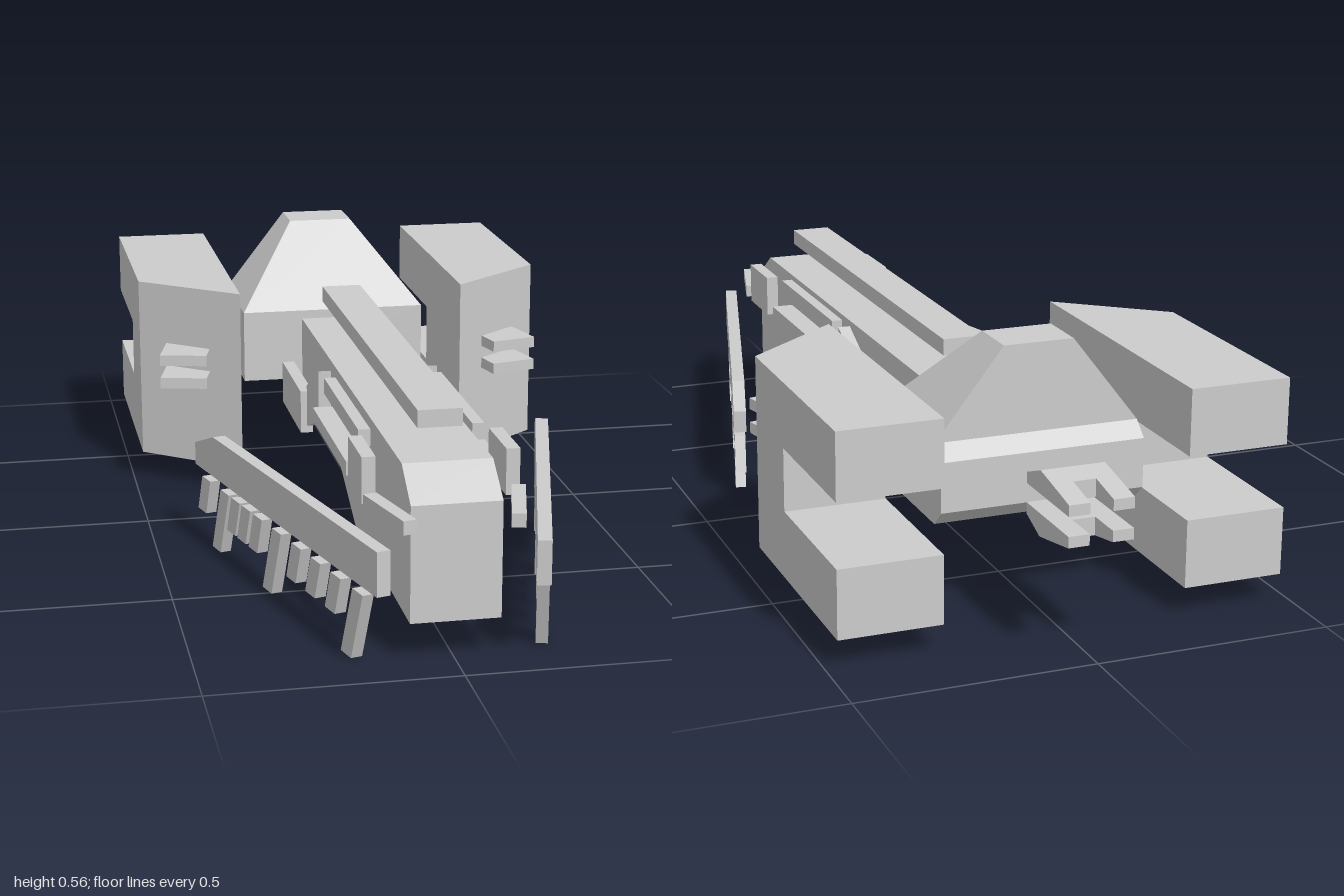
import * as THREE from 'three';

const material = new THREE.MeshStandardMaterial({ color: 0xcccccc, flatShading: true });

// Side profile of [z, y] points, extruded between two x positions
function prism(name, points, xa, xb) {
  const shape = new THREE.Shape(points.map(([z, y]) => new THREE.Vector2(z, y)));
  const geometry = new THREE.ExtrudeGeometry(shape, { depth: Math.abs(xb - xa), bevelEnabled: false });
  geometry.rotateY(-Math.PI / 2).translate(Math.max(xa, xb), 0, 0);
  return named(name, geometry);
}

function named(name, geometry) {
  const mesh = new THREE.Mesh(geometry, material);
  mesh.name = name;
  return mesh;
}

// Upright block from its limits along each axis
function block(name, [xa, xb], [ya, yb], [za, zb]) {
  return prism(name, [[za, ya], [zb, ya], [zb, yb], [za, yb]], xa, xb);
}

function moveVertices(geometry, rule) {
  const p = geometry.attributes.position;
  const v = new THREE.Vector3();
  for (let i = 0; i < p.count; i++) {
    rule(v.fromBufferAttribute(p, i));
    p.setXYZ(i, v.x, v.y, v.z);
  }
  geometry.computeVertexNormals();
}

// C-shaped engine pod with a slanted nose and two small fins
function enginePod(s) {
  const group = new THREE.Group();
  group.name = s > 0 ? 'leftEnginePod' : 'rightEnginePod';
  const pod = prism('podShell', [
    [-0.16, 0.06], [-0.16, 0.48], [-0.85, 0.48], [-0.85, 0.34],
    [-0.52, 0.34], [-0.52, 0.205], [-0.85, 0.205], [-0.85, 0.06],
  ], s * 0.26, s * 0.477);
  moveVertices(pod.geometry, (v) => {
    if (v.z > -0.2 && Math.abs(v.x) > 0.4) v.z = -0.335;
  });
  group.add(pod);
  for (const y of [0.273, 0.327]) {
    const fin = named('podFin', new THREE.BoxGeometry(0.108, 0.025, 0.115));
    fin.position.set(s * 0.38, y, -0.222);
    fin.rotation.y = s * 0.24;
    group.add(fin);
  }
  return group;
}

// Splayed rail carrying a row of slanted legs
function legRail(s) {
  const group = new THREE.Group();
  group.name = s > 0 ? 'leftLegRail' : 'rightLegRail';
  group.add(prism('rail', [
    [0.455, 0.165], [0.455, 0.255], [-0.35, 0.255], [-0.455, 0.215], [-0.455, 0.165],
  ], -0.014, 0.014));
  const leg = (name, z, bottom, drift) => {
    const c = (z - 0.545) / 0.967;
    group.add(prism(name, [
      [c - 0.023, 0.146], [c + 0.023, 0.146], [c + 0.023 - drift, bottom], [c - 0.023 - drift, bottom],
    ], -0.012, 0.012));
  };
  for (const z of [0.9, 0.53, 0.262]) leg('longLeg', z, 0, 0.052);
  for (const z of [0.805, 0.715, 0.625, 0.435, 0.375, 0.32, 0.16]) leg('shortLeg', z, 0.065, 0.027);
  group.position.set(s * 0.2715, 0, 0.545);
  group.rotation.y = -s * 0.259;
  return group;
}

// Plates and strips along one flank of the body
function flankPlates(s) {
  const group = new THREE.Group();
  group.name = s > 0 ? 'leftFlankPlates' : 'rightFlankPlates';
  const x = (a, b) => [s * a, s * b];
  group.add(
    block('rearPlate', x(0.11, 0.138), [0.172, 0.27], [-0.32, -0.055]),
    prism('slantedPlate', [[0.155, 0.26], [0.155, 0.375], [0, 0.3], [0, 0.205]], s * 0.105, s * 0.133),
    block('upperStrip', x(0.105, 0.13), [0.34, 0.375], [0.21, 0.603]),
    block('lowerStrip', x(0.105, 0.155), [0.28, 0.31], [0.21, 0.603]),
    block('frontPlate', x(0.13, 0.158), [0.28, 0.375], [0.64, 0.783]),
  );
  const prong = named('nosePron', new THREE.BoxGeometry(0.028, 0.028, 0.175));
  prong.name = 'noseProng';
  prong.position.set(s * 0.126, 0.297, 0.897);
  prong.rotation.y = -s * 0.25;
  group.add(prong);
  return group;
}

// Forked tail: two tapered jaws, each ending in a pair of prongs
function tail() {
  const group = new THREE.Group();
  group.name = 'tailFork';
  for (const f of [1, -1]) {
    const y = (h) => 0.29 + f * h;
    group.add(prism('tailJaw', [
      [-0.8, y(0.02)], [-0.8, y(0.043)], [-0.865, y(0.068)], [-0.92, y(0.058)], [-0.92, y(0.02)],
    ], -0.068, 0.068));
    for (const s of [1, -1]) {
      group.add(prism('tailProng', [
        [-0.92, y(0.02)], [-0.92, y(0.058)], [-1, y(0.043)], [-1, y(0.02)],
      ], s * 0.024, s * 0.068));
    }
  }
  return group;
}

export function createModel() {
  const model = new THREE.Group();
  model.name = 'craft';

  // Long body with a deep front and raised belly behind
  model.add(prism('body', [
    [0.92, 0.08], [0.92, 0.317], [0.835, 0.375], [-0.32, 0.375],
    [-0.32, 0.205], [0.1, 0.205], [0.38, 0.08],
  ], -0.09, 0.09));
  model.add(block('topStrip', [-0.045, 0.045], [0.423, 0.459], [-0.29, 0.77]));

  // Rear hull and its tapered roof
  model.add(prism('rearHull', [
    [-0.4, 0.205], [-0.4, 0.375], [-0.693, 0.375], [-0.728, 0.345], [-0.728, 0.24], [-0.69, 0.205],
  ], -0.219, 0.219));
  const roof = block('rearRoof', [-0.219, 0.219], [0.375, 0.56], [-0.693, -0.4]);
  moveVertices(roof.geometry, (v) => {
    if (v.y < 0.5) return;
    v.x *= 0.075 / 0.219;
    if (v.z > -0.5) v.z = -0.58;
  });
  model.add(roof, tail());

  for (const s of [1, -1]) model.add(enginePod(s), legRail(s), flankPlates(s));
  return model;
}
